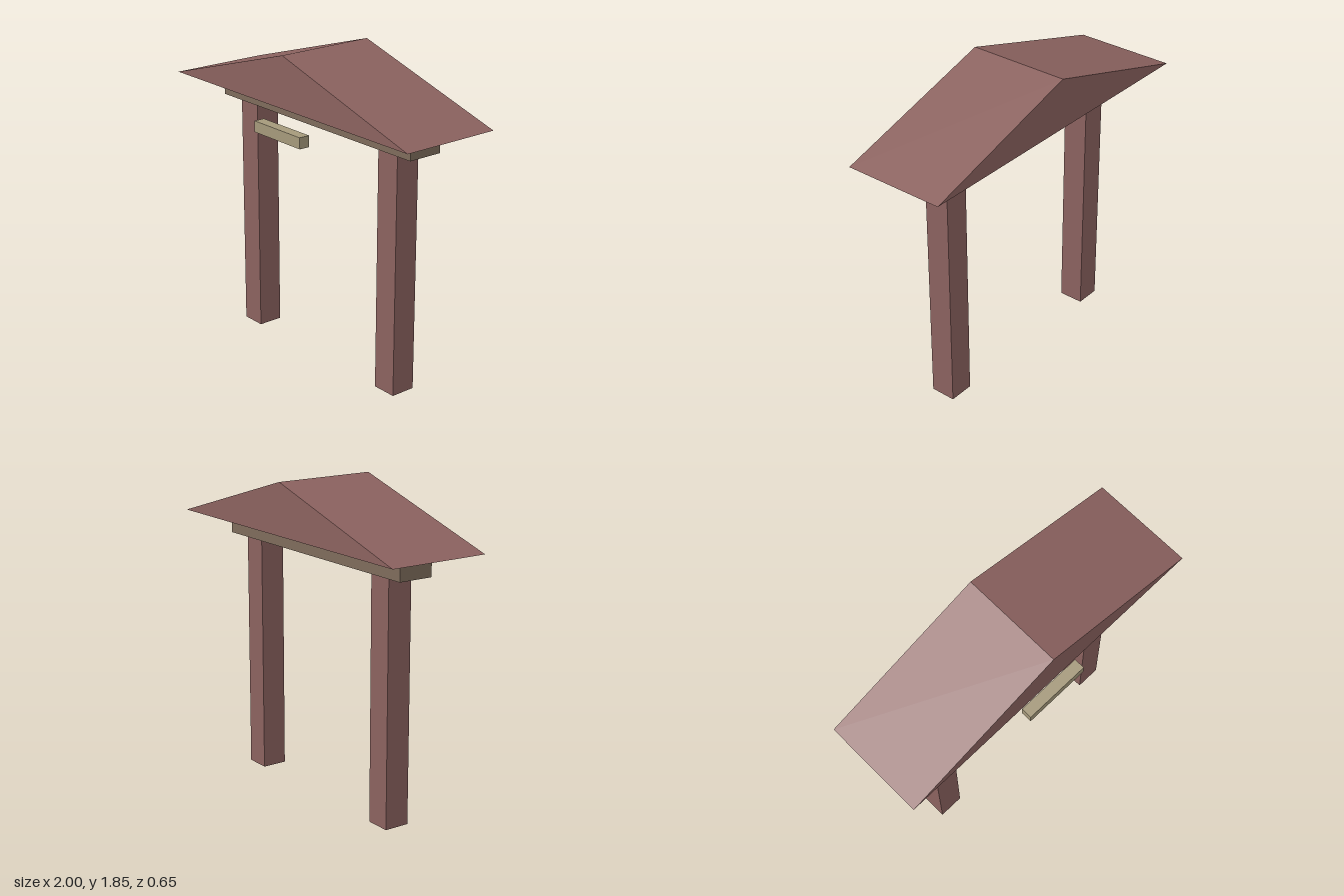
import * as THREE from 'three';

export function createModel() {
  const group = new THREE.Group();
  const material = (color) => new THREE.MeshStandardMaterial({ color, flatShading: true });
  const redWood = material(0x8b625f);
  const brownWood = material(0x7e6c5b);
  const paleWood = material(0xa5997b);
  const midZ = -0.02; // centre plane of the gate frame

  function box(name, mat, w, h, d, x, y, z) {
    const mesh = new THREE.Mesh(new THREE.BoxGeometry(w, h, d), mat);
    mesh.name = name;
    mesh.position.set(x, y, z);
    group.add(mesh);
  }

  // Two square posts
  for (const [side, name] of [[1, 'leftPost'], [-1, 'rightPost']]) {
    box(name, redWood, 0.15, 1.42, 0.15, side * 0.605, 0.71, midZ);
  }

  // Crossbeam resting on the posts
  box('crossbeam', brownWood, 1.62, 0.13, 0.21, 0, 1.485, midZ);

  // Small plank hanging free in front of the beam
  box('plank', paleWood, 0.4, 0.065, 0.065, 0, 1.412, 0.292);

  // Solid gable roof
  const gable = new THREE.Shape([
    new THREE.Vector2(-1, 0),
    new THREE.Vector2(1, 0),
    new THREE.Vector2(0, 0.3),
  ]);
  const depth = 0.605;
  const roof = new THREE.Mesh(
    new THREE.ExtrudeGeometry(gable, { depth, bevelEnabled: false }),
    redWood,
  );
  roof.name = 'roof';
  roof.position.set(0, 1.55, midZ - depth / 2);
  group.add(roof);

  return group;
}
